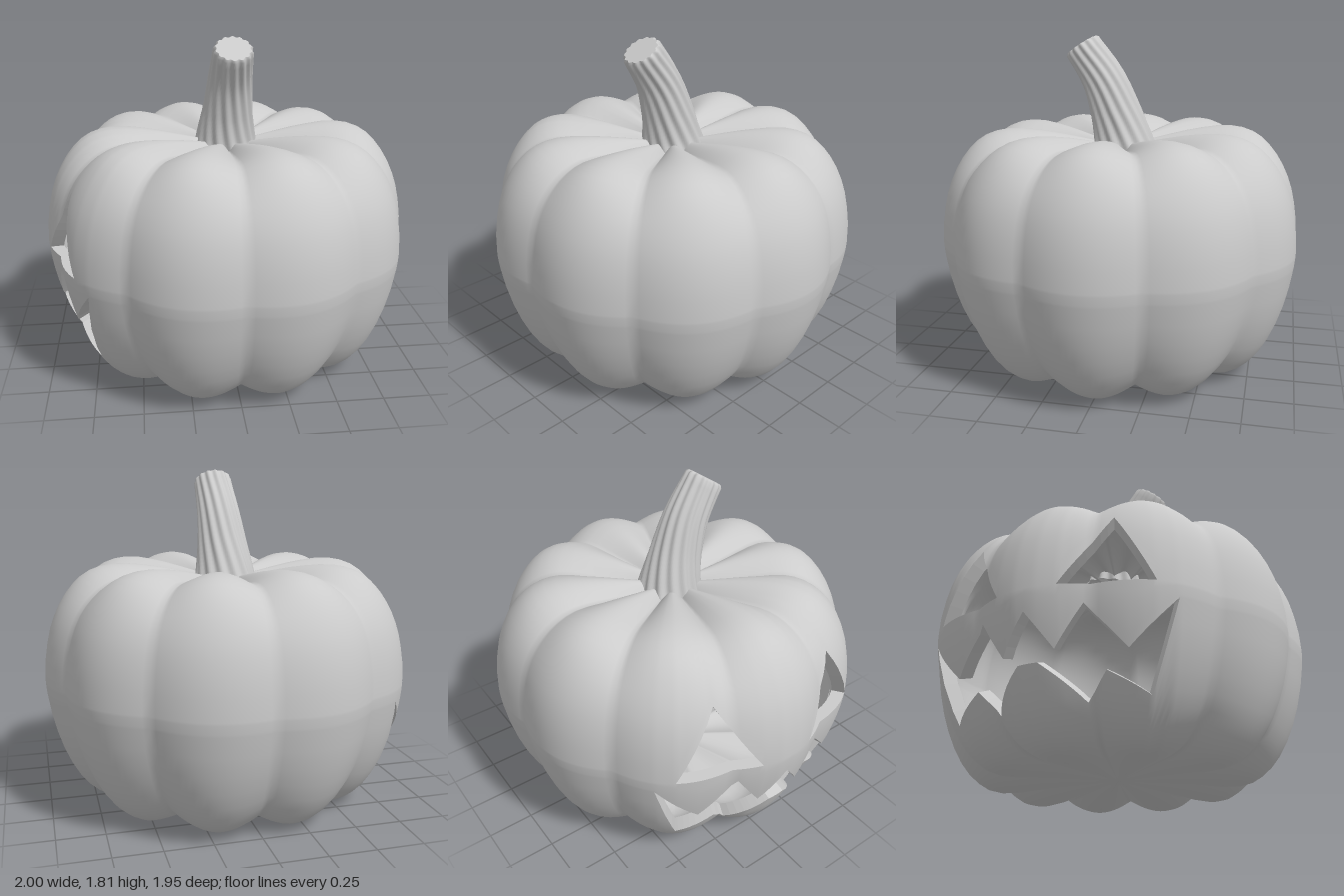
import * as THREE from 'three';
import { mergeVertices } from 'three/addons/utils/BufferGeometryUtils.js';

const DEG = Math.PI / 180;
const curve = (pts) => new THREE.SplineCurve(pts.map(([r, y]) => new THREE.Vector2(r, y)));

// Profiles (radius, height) along the crest of a lobe and along a groove
const crest = curve([[0, 0.04], [0.35, 0.02], [0.62, 0], [0.76, 0.06], [0.87, 0.2], [0.955, 0.42],
  [1, 0.68], [0.98, 0.9], [0.93, 1.06], [0.85, 1.19], [0.75, 1.275], [0.61, 1.31], [0.42, 1.295], [0.2, 1.25], [0, 1.2]]);
const groove = curve([[0, 0.04], [0.35, 0.05], [0.58, 0.06], [0.72, 0.12], [0.825, 0.24], [0.91, 0.44],
  [0.955, 0.68], [0.935, 0.9], [0.885, 1.05], [0.81, 1.15], [0.71, 1.22], [0.59, 1.25], [0.41, 1.23], [0.2, 1.2], [0, 1.18]]);

// Carved outlines as [angle from -x in degrees, height], mirrored about angle 0
const mouthLow = [[0, 0.35], [3, 0.35], [16, 0.19], [22, 0.31], [35, 0.2], [41, 0.62]];
const mouthHigh = [[0, 0.58], [8, 0.4], [16, 0.6], [28, 0.39], [41, 0.62]];
const eyeLow = [[0, 0.69]];
const eyeHigh = [[9, 0.69], [24, 1.07], [35, 0.69]];
const outlines = [mouthLow, mouthHigh, eyeLow, eyeHigh];

function heightAt(line, deg) {
  const a = Math.abs(deg);
  if (a <= line[0][0]) return line[0][1];
  for (let i = 1; i < line.length; i++) {
    const [a0, y0] = line[i - 1], [a1, y1] = line[i];
    if (a <= a1) return y0 + ((y1 - y0) * (a - a0)) / (a1 - a0);
  }
  return line[line.length - 1][1];
}

// Point on the ribbed skin: ten lobes between crest and groove profiles
const section = (deg, s) => groove.getPoint(s).lerp(crest.getPoint(s), Math.abs(Math.cos(5 * deg * DEG)));

function skin(deg, s) {
  const p = section(deg, s);
  return [-p.x * Math.cos(deg * DEG), p.y, p.x * Math.sin(deg * DEG)];
}

// Profile parameter at which the skin reaches a height
function paramAt(deg, y) {
  let lo = 0.16, hi = 0.76;
  for (let i = 0; i < 24; i++) {
    const mid = (lo + hi) / 2;
    if (section(deg, mid).y < y) lo = mid; else hi = mid;
  }
  return (lo + hi) / 2;
}

// Inner wall is the skin shrunk towards the middle
const shrink = ([x, y, z]) => [x * 0.93, 0.69 + (y - 0.69) * 0.93, z * 0.93];

function quad(out, a, b, c, d) {
  out.push(...a, ...b, ...c, ...a, ...c, ...d);
}

function geometry(positions, smooth) {
  let g = new THREE.BufferGeometry();
  g.setAttribute('position', new THREE.Float32BufferAttribute(positions, 3));
  if (smooth) g = mergeVertices(g, 1e-5);
  g.computeVertexNormals();
  return g;
}

function buildBody(group, mesh) {
  // Columns every two degrees plus every corner of the carving
  const angles = new Set();
  for (let a = -180; a <= 180; a += 2) angles.add(a);
  outlines.flat().forEach(([a]) => { angles.add(a); angles.add(-a); });
  const columns = [...angles].sort((a, b) => a - b).map((deg) => {
    const heights = outlines.map((line) => heightAt(line, deg));
    const [m0, m1, e0, e1] = heights.map((y) => paramAt(deg, y));
    // Solid strips: below the mouth, between mouth and eyes, above the eyes
    const strips = [[0, m0, 14], [m1, e0, 5], [e1, 1, 18]].map(([s0, s1, n]) =>
      Array.from({ length: n + 1 }, (_, i) => skin(deg, s0 + ((s1 - s0) * i) / n)));
    return { strips, open: [heights[1] - heights[0] > 1e-4, heights[3] - heights[2] > 1e-4] };
  });

  const outer = [], inner = [], cuts = [];
  for (let i = 0; i + 1 < columns.length; i++) {
    const A = columns[i], B = columns[i + 1];
    A.strips.forEach((left, k) => {
      const right = B.strips[k];
      for (let j = 0; j + 1 < left.length; j++) {
        const q = [left[j], right[j], right[j + 1], left[j + 1]];
        quad(outer, ...q);
        quad(inner, ...q.map(shrink).reverse());
      }
    });
    // Walls of the openings through the shell
    for (let k = 0; k < 2; k++) {
      if (!A.open[k] && !B.open[k]) continue;
      const a = A.strips[k].at(-1), b = B.strips[k].at(-1);
      quad(cuts, a, b, shrink(b), shrink(a));
      const c = A.strips[k + 1][0], d = B.strips[k + 1][0];
      quad(cuts, shrink(c), shrink(d), d, c);
    }
  }
  group.add(mesh('outerSkin', geometry(outer, true)));
  group.add(mesh('innerWall', geometry(inner, true)));
  group.add(mesh('carvedEdges', geometry(cuts, false)));
}

// Curved, tapering, ribbed and slightly twisted stem
function buildStem(group, mesh) {
  const path = new THREE.CatmullRomCurve3([[0, 1.16, -0.02], [0, 1.27, 0], [0.005, 1.4, 0.035], [0.01, 1.57, 0.1], [0.015, 1.755, 0.22]]
    .map((p) => new THREE.Vector3(...p)));
  const SIDES = 112, ROWS = 24, RIBS = 14;
  const ring = (t, scale) => {
    const c = path.getPoint(t), d = path.getTangent(t);
    const n = new THREE.Vector3(0, -d.z, d.y).normalize();
    return Array.from({ length: SIDES }, (_, i) => {
      const a = (i / SIDES) * Math.PI * 2;
      const taper = 0.1 + 0.075 * Math.pow(1 - t, 1.2);
      const r = scale * taper * (1 + 0.05 * Math.cos(RIBS * (a + 0.7 * t)));
      const u = -r * Math.cos(a), v = r * Math.sin(a);
      return [c.x + u, c.y + n.y * v, c.z + n.z * v];
    });
  };
  const loft = (rings) => {
    const out = [];
    for (let j = 0; j + 1 < rings.length; j++)
      for (let i = 0; i < SIDES; i++) {
        const k = (i + 1) % SIDES;
        quad(out, rings[j][i], rings[j][k], rings[j + 1][k], rings[j + 1][i]);
      }
    return geometry(out, true);
  };
  const side = Array.from({ length: ROWS + 1 }, (_, j) => ring((0.985 * j) / ROWS, 1));
  group.add(mesh('stem', loft([...side, ring(1, 0.9)])));
  group.add(mesh('stemTop', loft([ring(1, 0.9), ring(1, 0.5), ring(1, 0)])));
}

export function createModel() {
  const material = new THREE.MeshStandardMaterial({ color: 0xcccccc });
  const mesh = (name, geo) => {
    const m = new THREE.Mesh(geo, material);
    m.name = name;
    return m;
  };
  const model = new THREE.Group();
  model.name = 'carvedPumpkin';
  const body = new THREE.Group();
  body.name = 'body';
  buildBody(body, mesh);
  const stem = new THREE.Group();
  stem.name = 'stemGroup';
  buildStem(stem, mesh);
  model.add(body, stem);
  return model;
}
